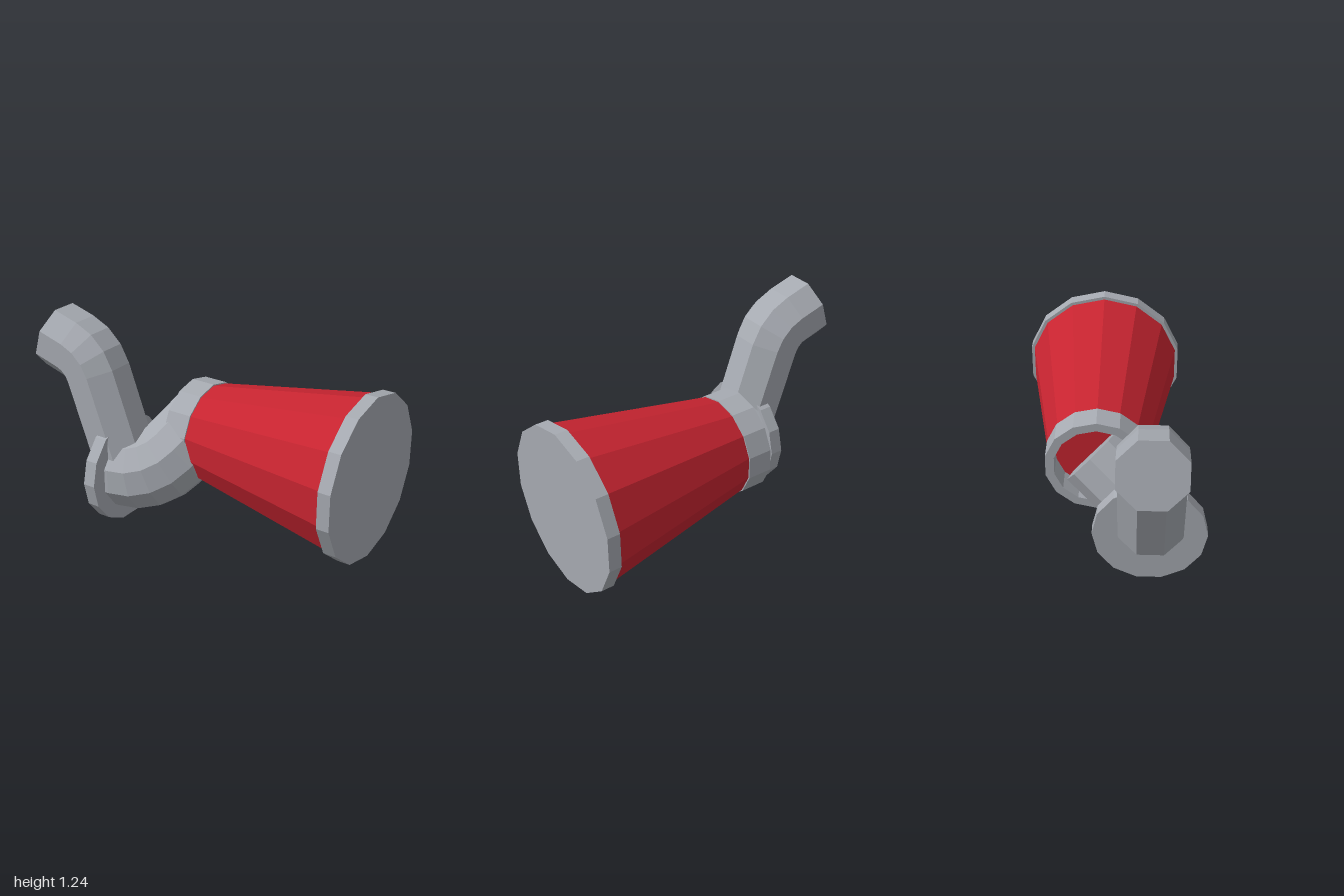
import * as THREE from 'three';

const grey = new THREE.MeshStandardMaterial({ color: 0xa6aab1, flatShading: true });
grey.name = 'steelGrey';
const red = new THREE.MeshStandardMaterial({ color: 0xc62430, flatShading: true });
red.name = 'coneRed';

const v3 = (x, y, z) => new THREE.Vector3(x, y, z);
const rad = THREE.MathUtils.degToRad;

// Faceted pipe through rings of { c: centre, t: direction, u: reference normal }, capped at both ends
function pipe(rings, radius, sides, phase) {
  const loops = rings.map(({ c, t, u }) => {
    const w = t.clone().cross(u);
    return Array.from({ length: sides }, (_, i) => {
      const a = phase + (i / sides) * Math.PI * 2;
      return c.clone().addScaledVector(u, radius * Math.cos(a)).addScaledVector(w, radius * Math.sin(a));
    });
  });
  const tris = [];
  const last = rings.length - 1;
  for (let j = 0; j < sides; j++) {
    const k = (j + 1) % sides;
    for (let i = 0; i < last; i++) {
      const [a, b, c, d] = [loops[i][j], loops[i][k], loops[i + 1][k], loops[i + 1][j]];
      tris.push(a, b, c, a, c, d);
    }
    tris.push(rings[0].c, loops[0][k], loops[0][j]);
    tris.push(rings[last].c, loops[last][j], loops[last][k]);
  }
  const geo = new THREE.BufferGeometry().setFromPoints(tris);
  geo.computeVertexNormals();
  return geo;
}

// Straight run, planar bend from direction t0 towards u0, straight run.
// 'start' is where the bend begins.
function bentPipe({ start, t0, u0, turn, bendRadius, before, after, steps, radius, sides, phase }) {
  const pivot = start.clone().addScaledVector(u0, bendRadius);
  const rings = [];
  for (let i = 0; i <= steps; i++) {
    const a = (turn * i) / steps;
    const t = t0.clone().multiplyScalar(Math.cos(a)).addScaledVector(u0, Math.sin(a));
    const u = u0.clone().multiplyScalar(Math.cos(a)).addScaledVector(t0, -Math.sin(a));
    rings.push({ c: pivot.clone().addScaledVector(u, -bendRadius), t, u });
  }
  const first = rings[0], end = rings[steps];
  rings.unshift({ ...first, c: first.c.clone().addScaledVector(first.t, -before) });
  rings.push({ ...end, c: end.c.clone().addScaledVector(end.t, after) });
  return pipe(rings, radius, sides, phase);
}

// Fourteen-sided disc or cone lying along x
function drum(x0, x1, r0, r1, y, z, thetaStart) {
  return new THREE.CylinderGeometry(r1, r0, x1 - x0, 14, 1, false, thetaStart)
    .rotateZ(-Math.PI / 2).translate((x0 + x1) / 2, y, z);
}

export function createModel() {
  const model = new THREE.Group();
  model.name = 'hornWithPipes';
  const add = (name, geo, mat) => {
    const mesh = new THREE.Mesh(geo, mat);
    mesh.name = name;
    model.add(mesh);
  };

  // Cone body with its wide end cap
  const axisY = 0.534, axisZ = -0.08;
  add('cone', drum(-0.05, 0.925, 0.295, 0.466, axisY, axisZ, Math.PI / 2), red);
  add('endCap', drum(0.925, 1, 0.485, 0.485, axisY, axisZ, Math.PI / 2), grey);

  // Open collar at the narrow end
  const profile = [[0.25, -0.2], [0.302, -0.2], [0.302, -0.05], [0.25, -0.05], [0.25, -0.2]]
    .map(([r, h]) => new THREE.Vector2(r, h));
  add('collar', new THREE.LatheGeometry(profile, 14, Math.PI / 2)
    .rotateZ(-Math.PI / 2).translate(0, axisY, axisZ), grey);

  // Flange between the two pipes
  add('flange', drum(-0.525, -0.45, 0.325, 0.325, 0.315, 0.23, 0), grey);

  // Elbow running from the flange up and back into the collar
  const tilt = rad(50);
  add('elbow', bentPipe({
    start: v3(-0.43, 0.315, 0.235), t0: v3(1, 0, 0), u0: v3(0, Math.cos(tilt), -Math.sin(tilt)),
    turn: rad(70), bendRadius: 0.24, before: 0.03, after: 0.28,
    steps: 4, radius: 0.235, sides: 10, phase: tilt,
  }), grey);

  // Tall pipe leaning outwards and bending over at the top
  const lean = rad(20);
  add('tallPipe', bentPipe({
    start: v3(-0.657, 0.888, 0.235),
    t0: v3(-Math.sin(lean), Math.cos(lean), 0), u0: v3(-Math.cos(lean), -Math.sin(lean), 0),
    turn: rad(54), bendRadius: 0.2, before: 0.61, after: 0.165,
    steps: 3, radius: 0.2, sides: 8, phase: Math.PI / 8,
  }), grey);

  return model;
}
